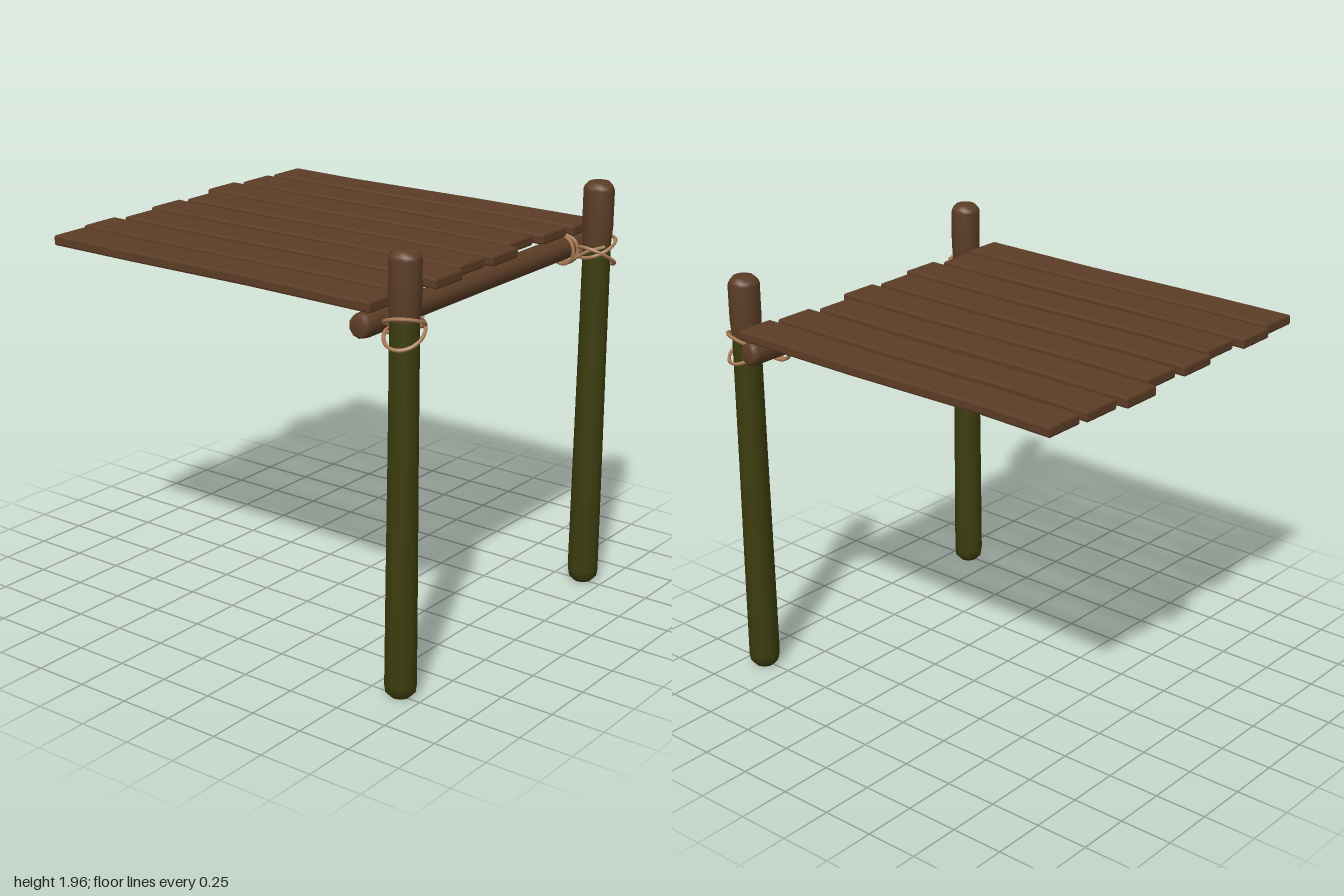
import * as THREE from 'three';

const wood = new THREE.MeshStandardMaterial({ color: 0x5c3d26 });
wood.name = 'brown wood';
const moss = new THREE.MeshStandardMaterial({ color: 0x3c3d0e });
moss.name = 'mossy green';
const rope = new THREE.MeshStandardMaterial({ color: 0xa87a54 });
rope.name = 'tan rope';

function add(parent, geometry, material, name) {
  const mesh = new THREE.Mesh(geometry, material);
  mesh.name = name;
  parent.add(mesh);
  return mesh;
}

// Lathe from [radius, height] pairs, bottom to top
function turned(points, sides = 10) {
  return new THREE.LatheGeometry(points.map(([r, y]) => new THREE.Vector2(r, y)), sides);
}

// Upright post: green below, bare wood on top, chamfered ends
function makePost(z, name) {
  const post = new THREE.Group();
  post.name = name;
  add(post, turned([[0, 0], [0.045, 0], [0.068, 0.025], [0.073, 0.06], [0.071, 0.5],
    [0.067, 1.1], [0.065, 1.67]]), moss, 'postLower');
  add(post, turned([[0.065, 1.67], [0.072, 1.76], [0.072, 1.925], [0.066, 1.94],
    [0.047, 1.96], [0, 1.96]]), wood, 'postUpper');
  post.position.set(0.895, 0, z);
  return post;
}

// Worn plank: straight ends, edges that waver along the length
function makePlank(x0, x1, z, flip) {
  const at = (t) => x0 + (x1 - x0) * t;
  const b = 0.01;
  const h = 0.096 - b;
  const far = [[0, 0], [0.22, -0.014], [0.62, 0.003], [1, 0]];
  const near = [[1, 0], [0.63, -0.013], [0.25, -0.002], [0, -0.003]];
  const edge = (list, side) => list.map(([t, d]) =>
    new THREE.Vector2(at(flip ? 1 - t : t) + (t === 0 || t === 1 ? ((flip ? 1 - t : t) ? -b : b) : 0),
      side * (h + d)));
  const s = flip ? -1 : 1;
  const outline = new THREE.Shape([...edge(far, s), ...edge(near, -s)]);
  const geo = new THREE.ExtrudeGeometry(outline, {
    depth: 0.05 - 2 * b, bevelEnabled: true, bevelThickness: b, bevelSize: b, bevelSegments: 2,
  });
  geo.rotateX(-Math.PI / 2);
  geo.translate(0, 1.705 + b, z);
  return geo;
}

// Closed rope loop, tilted by a height rule
function ropeLoop(place) {
  const pts = [];
  for (let i = 0; i < 10; i++) pts.push(place((i / 10) * Math.PI * 2));
  return new THREE.TubeGeometry(new THREE.CatmullRomCurve3(pts, true), 40, 0.0085, 6, true);
}

// Lashing: crossed loops round the post, and loops round the beam beside it
function makeLashing(z, side, name) {
  const lash = new THREE.Group();
  lash.name = name;
  const px = 0.895, bx = 0.765, y = 1.64;
  [[1.655, 0.035, 0.02], [1.615, -0.05, -0.01]].forEach(([h, slopeZ, slopeX]) => {
    add(lash, ropeLoop((a) => new THREE.Vector3(
      px + 0.084 * Math.cos(a),
      h + slopeZ * Math.sin(a) + slopeX * Math.cos(a),
      z + side * 0.084 * Math.sin(a))), rope, 'postLoop');
  });
  [-0.072, -0.09].forEach((dz, i) => {
    add(lash, ropeLoop((a) => new THREE.Vector3(
      bx + 0.066 * Math.cos(a),
      y + 0.066 * Math.sin(a),
      z + side * (dz + (i ? -0.008 : 0.012) * Math.cos(a)))), rope, 'beamLoop');
  });
  // Strand joining the beam loop to the post loop
  const strand = new THREE.CatmullRomCurve3([
    new THREE.Vector3(bx - 0.02, y - 0.064, z - side * 0.085),
    new THREE.Vector3(bx + 0.06, y - 0.035, z - side * 0.09),
    new THREE.Vector3(px, y + 0.01, z - side * 0.085),
    new THREE.Vector3(px + 0.07, y + 0.035, z - side * 0.045),
  ]);
  add(lash, new THREE.TubeGeometry(strand, 16, 0.0085, 6), rope, 'joiningStrand');
  return lash;
}

export function createModel() {
  const model = new THREE.Group();
  model.name = 'lashedPlankShelter';

  // Posts and their lashings
  [[0.743, 1, 'front'], [-0.763, -1, 'back']].forEach(([z, side, name]) => {
    model.add(makePost(z, name + 'Post'));
    model.add(makeLashing(z, side, name + 'Lashing'));
  });

  // Cross beam under the planks
  const beam = add(model, turned([[0, -0.885], [0.038, -0.885], [0.05, -0.873], [0.055, -0.85],
    [0.053, 0], [0.055, 0.85], [0.05, 0.873], [0.038, 0.885], [0, 0.885]]), wood, 'beam');
  beam.rotation.x = Math.PI / 2;
  beam.position.set(0.765, 1.647, 0);

  // Roof planks, back to front: left end, right end, centre z, turned round
  const planks = [
    [-0.95, 0.815, -0.787, false], [-0.965, 0.79, -0.565, false],
    [-1, 0.752, -0.343, true], [-0.94, 0.815, -0.12, false],
    [-0.967, 0.788, 0.103, false], [-0.93, 0.826, 0.325, false],
    [-0.97, 0.784, 0.547, true], [-0.945, 0.811, 0.768, false],
  ];
  const roof = new THREE.Group();
  roof.name = 'roof';
  planks.forEach(([x0, x1, z, flip]) => add(roof, makePlank(x0, x1, z, flip), wood, 'plank'));
  model.add(roof);
  return model;
}
